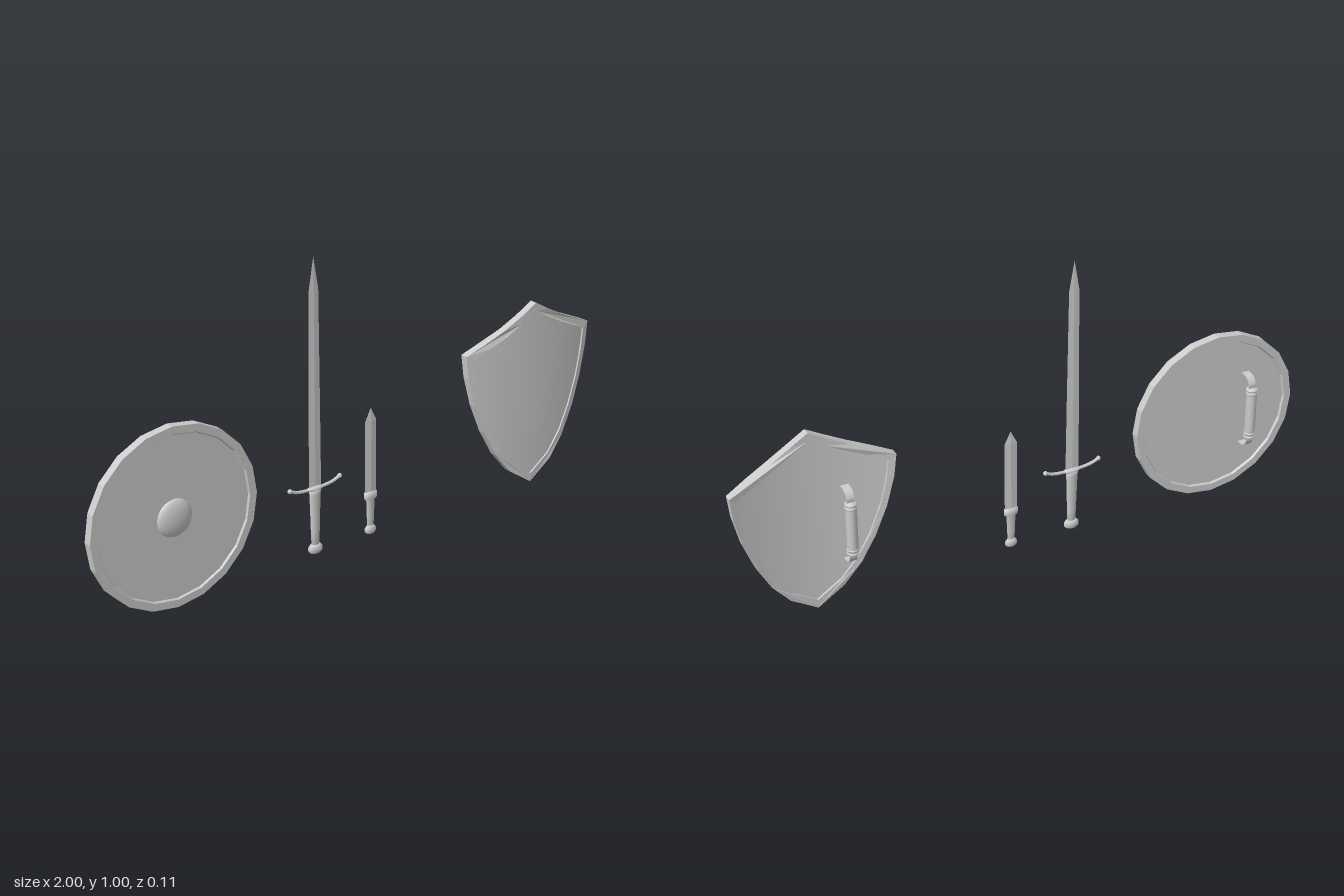
import * as THREE from 'three';

const smooth = new THREE.MeshStandardMaterial({ color: 0xcccccc, side: THREE.DoubleSide });
const flat = new THREE.MeshStandardMaterial({ color: 0xcccccc, side: THREE.DoubleSide, flatShading: true });

function add(parent, name, geometry, material = smooth) {
  const mesh = new THREE.Mesh(geometry, material);
  mesh.name = name;
  parent.add(mesh);
  return mesh;
}

const lathe = (points, segments) =>
  new THREE.LatheGeometry(points.map(([r, y]) => new THREE.Vector2(r, y)), segments);

function group(parent, name, x, y, z) {
  const g = new THREE.Group();
  g.name = name;
  g.position.set(x, y, z);
  parent.add(g);
  return g;
}

// Padded grip with a ring at each end and two curved straps; origin at the grip centre
function addHandle(parent, x, y, z) {
  const handle = group(parent, 'handle', x, y, z);
  add(handle, 'grip', lathe([[0, -0.095], [0.016, -0.095], [0.018, -0.08], [0.018, 0.08], [0.016, 0.095], [0, 0.095]], 16));
  for (const s of [-1, 1]) {
    for (const h of [0.077, 0.09]) {
      const ring = add(handle, 'gripRing', new THREE.TorusGeometry(0.016, 0.0045, 8, 16));
      ring.rotation.x = Math.PI / 2;
      ring.position.y = s * h;
    }
    const path = new THREE.SplineCurve([[0, 0.09], [0.001, 0.108], [-0.008, 0.124], [-0.02, 0.132], [-0.045, 0.134]]
      .map(([a, b]) => new THREE.Vector2(a, s * b)));
    const line = path.getPoints(12);
    const back = line.map((p, i) => {
      const t = path.getTangent(i / 12);
      return new THREE.Vector2(p.x - t.y * 0.003, p.y + t.x * 0.003);
    }).reverse();
    const strap = new THREE.ExtrudeGeometry(new THREE.Shape([...line, ...back]), { depth: 0.026, bevelEnabled: false });
    strap.translate(0, 0, -0.013).rotateY(Math.PI / 2);
    add(handle, 'strap', strap);
  }
}

// Twenty-sided round shield with raised rim and domed boss
function addRoundShield(root) {
  const shield = group(root, 'roundShield', -0.703, 0.302, 0);
  const disc = lathe([[0, 0.017], [0.268, 0.017], [0.272, 0.01], [0.297, 0.01],
    [0.297, 0.039], [0.272, 0.039], [0.268, 0.033], [0, 0.033]], 20);
  add(shield, 'disc', disc.rotateX(Math.PI / 2), flat);
  const dome = [];
  for (let i = 0; i <= 8; i++) {
    const a = (i / 8) * Math.PI / 2;
    dome.push([0.062 * Math.cos(a), 0.032 + 0.022 * Math.sin(a)]);
  }
  add(shield, 'boss', lathe(dome, 24).rotateX(Math.PI / 2));
  addHandle(shield, -0.112, 0.002, -0.032);
}

// Curved pointed shield: right half of the outline, top edge and lower edge
const TOP = [[0, 0.655], [0.06, 0.62], [0.13, 0.583], [0.2, 0.551], [0.27, 0.519]];
const LOW = [[0, 0.01], [0.09, 0.07], [0.15, 0.144], [0.198, 0.235], [0.236, 0.337], [0.261, 0.44], [0.27, 0.519]];
const INSET = 0.91, MID_Y = 0.34;
const bend = (x) => -0.032 * (x / 0.27) ** 2;

function heightAt(edge, x) {
  const i = Math.max(1, edge.findIndex((p) => p[0] >= x - 1e-6));
  const [a, b] = [edge[i - 1], edge[i]];
  return a[1] + (b[1] - a[1]) * (x - a[0]) / (b[0] - a[0]);
}

function heaterOutline(scale) {
  const half = [...TOP, ...LOW.slice(1, -1).reverse(), LOW[0]];
  const other = half.slice(1, -1).reverse().map(([x, y]) => [-x, y]);
  return [...half, ...other].map(([x, y]) => new THREE.Vector2(x * scale, MID_Y + (y - MID_Y) * scale));
}

function moveVertices(geometry, rule) {
  const p = geometry.attributes.position;
  for (let i = 0; i < p.count; i++) p.setXYZ(i, ...rule(p.getX(i), p.getY(i), p.getZ(i)));
  geometry.computeVertexNormals();
  return geometry;
}

function addHeaterShield(root) {
  const shield = group(root, 'pointedShield', 0.73, 0, 0);
  const shape = new THREE.Shape(heaterOutline(1));
  shape.holes.push(new THREE.Path(heaterOutline(INSET)));
  const rim = new THREE.ExtrudeGeometry(shape, { depth: 0.026, bevelEnabled: false });
  add(shield, 'rim', moveVertices(rim, (x, y, z) => [x, y, z + 0.011 + bend(x)]), flat);
  // Recessed front and back panels, each column spanning lower edge to top edge
  for (const [name, z, turn] of [['frontPanel', 0.031, 0], ['backPanel', 0.017, Math.PI]]) {
    const panel = new THREE.PlaneGeometry(2, 1, 36, 4).rotateY(turn);
    add(shield, name, moveVertices(panel, (u, v) => {
      const x = Math.abs(u) * 0.27;
      const low = heightAt(LOW, x), top = heightAt(TOP, x);
      const y = low + (top - low) * (v + 0.5);
      return [u * 0.27 * INSET, MID_Y + (y - MID_Y) * INSET, z + bend(u * 0.27 * INSET)];
    }));
  }
  addHandle(shield, -0.108, 0.304, -0.032);
}

// Flat diamond-section blade
function addBlade(parent, points, depth) {
  add(parent, 'blade', lathe(points, 4).scale(1, 1, depth), flat);
}

function addSword(root) {
  const sword = group(root, 'sword', -0.173, 0, 0.023);
  addBlade(sword, [[0, 0.22], [0.024, 0.235], [0.022, 0.5], [0.018, 0.9], [0, 1.005]], 0.12);
  add(sword, 'grip', lathe([[0, 0.04], [0.014, 0.04], [0.016, 0.09], [0.018, 0.16], [0.02, 0.22], [0.022, 0.24], [0, 0.245]], 16).scale(1, 1, 0.6));
  add(sword, 'pommel', lathe([[0, 0.017], [0.018, 0.018], [0.026, 0.025], [0.026, 0.038], [0.018, 0.047], [0, 0.05]], 16).scale(1, 1, 0.6));
  // Upswept crossguard with knobbed ends
  const curve = new THREE.CatmullRomCurve3([[-0.097, 0.257], [-0.07, 0.246], [0, 0.24], [0.07, 0.246], [0.097, 0.257]]
    .map(([x, y]) => new THREE.Vector3(x, y, 0)));
  add(sword, 'crossguard', new THREE.TubeGeometry(curve, 24, 0.0055, 8));
  add(sword, 'guardCentre', new THREE.SphereGeometry(1, 16, 10).scale(0.032, 0.009, 0.013)).position.y = 0.241;
  for (const s of [-1, 1]) {
    add(sword, 'guardKnob', new THREE.SphereGeometry(0.008, 10, 8)).position.set(s * 0.097, 0.257, 0);
  }
}

function addDagger(root) {
  const dagger = group(root, 'dagger', 0.05, 0, 0.021);
  addBlade(dagger, [[0, 0.145], [0.022, 0.15], [0.022, 0.41], [0, 0.455]], 0.15);
  add(dagger, 'grip', lathe([[0, 0.035], [0.012, 0.035], [0.014, 0.08], [0.016, 0.135], [0.024, 0.142], [0.025, 0.163], [0, 0.166]], 16).scale(1, 1, 0.5));
  add(dagger, 'pommel', lathe([[0, 0.017], [0.016, 0.018], [0.021, 0.025], [0.021, 0.036], [0.013, 0.046], [0, 0.048]], 16).scale(1, 1, 0.55));
}

export function createModel() {
  const root = new THREE.Group();
  root.name = 'shieldsAndBlades';
  addRoundShield(root);
  addSword(root);
  addDagger(root);
  addHeaterShield(root);
  return root;
}
